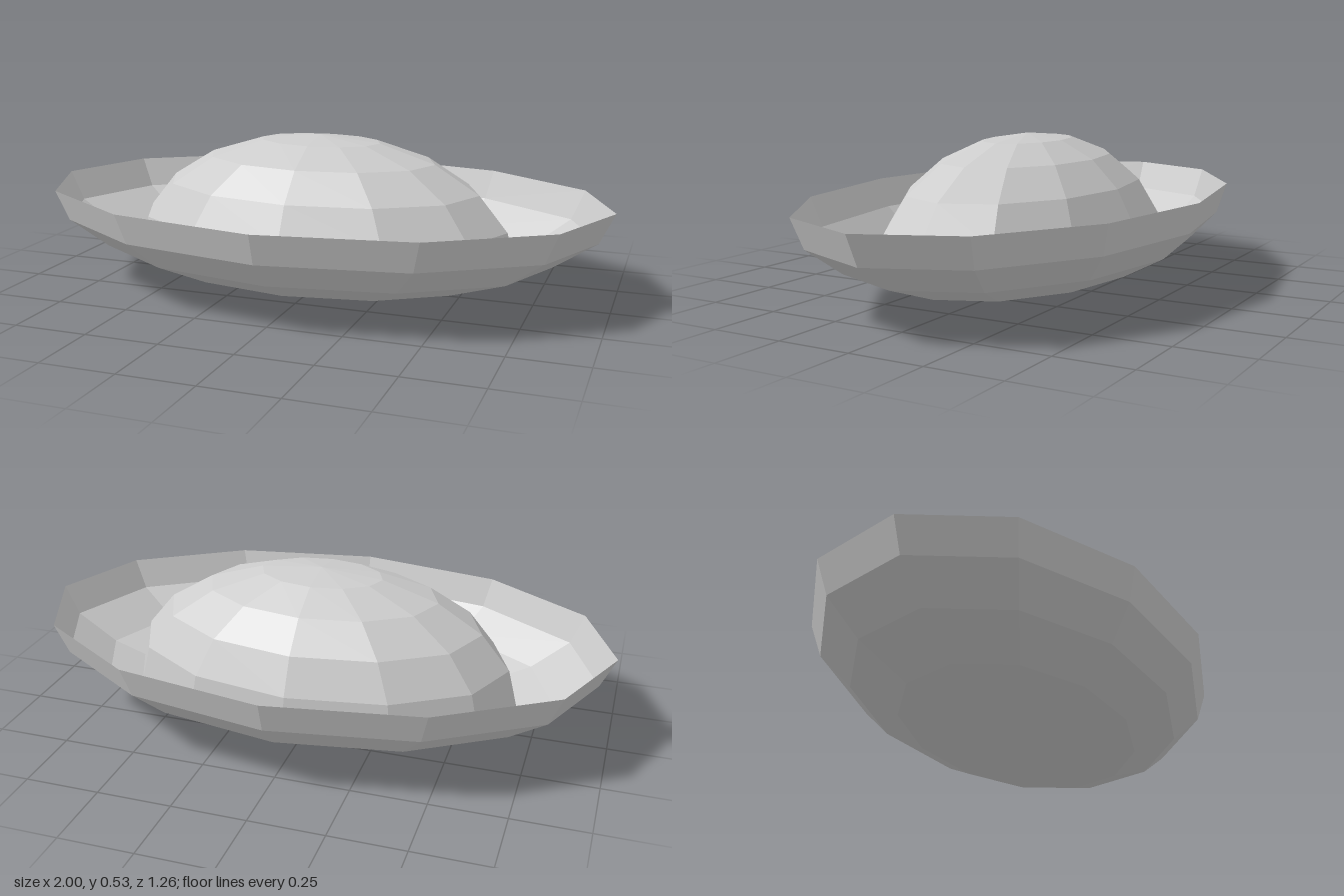
import * as THREE from 'three';

// Half of a 12-sided, 10-ring low-poly ellipsoid: open shell, upper or lower
function halfShell(name, upper, rx, ry, rz, y, material) {
  const geometry = new THREE.SphereGeometry(
    1, 12, 5, 0, Math.PI * 2, upper ? 0 : Math.PI / 2, Math.PI / 2
  );
  geometry.scale(rx, ry, rz);
  const mesh = new THREE.Mesh(geometry, material);
  mesh.name = name;
  mesh.position.y = y;
  return mesh;
}

export function createModel() {
  const group = new THREE.Group();
  group.name = 'domedDish';

  const grey = new THREE.MeshStandardMaterial({
    color: 0xcccccc, flatShading: true, side: THREE.DoubleSide
  });
  grey.name = 'light grey';

  // Wide oval bowl, open at the top
  group.add(halfShell('bowl', false, 1, 0.333, 0.632, 0.333, grey));
  // Oval dome resting inside the bowl
  group.add(halfShell('dome', true, 0.69, 0.425, 0.425, 0.108, grey));

  return group;
}
